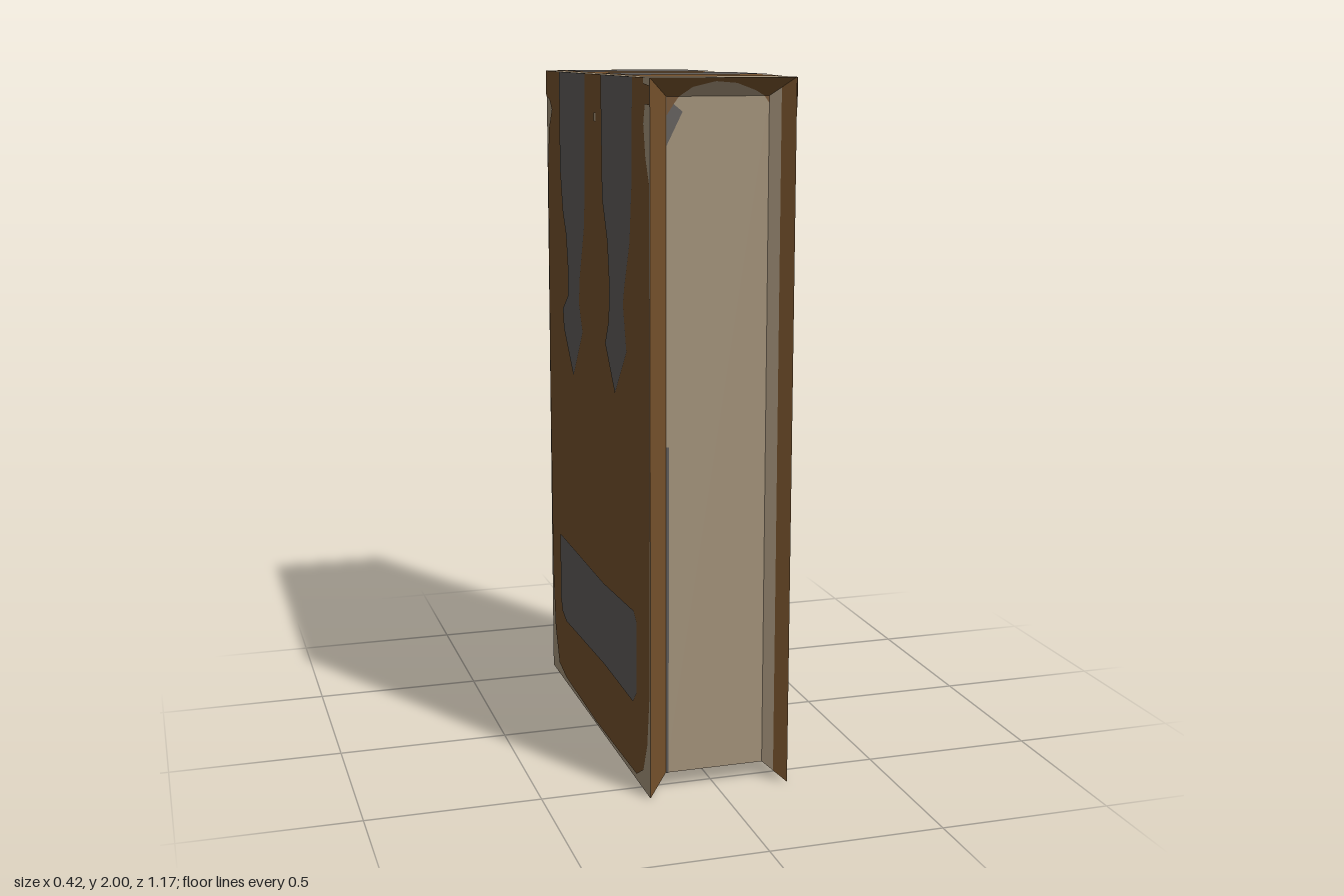
import * as THREE from 'three';

// Outer half sizes and the depth of the recess around the pages
const X = 0.205, Z = 0.585, H = 2, IN = 0.06, D = 0.05;
const XI = X - IN, ZI = Z - D;

function material(name, color) {
  const m = new THREE.MeshStandardMaterial({ color, side: THREE.DoubleSide });
  m.name = name;
  return m;
}

export function createModel() {
  const leather = material('brown leather', 0x73502b);
  const metal = material('grey trim', 0x5f5b58);
  const paper = material('worn paper', 0xa3927a);
  const book = new THREE.Group();
  book.name = 'book';

  const add = (parent, name, geometry, mat) => {
    const mesh = new THREE.Mesh(geometry, mat);
    mesh.name = name;
    parent.add(mesh);
    return mesh;
  };

  // Flat outline in the xy plane, lifted slightly as a layer of paint
  const paint = (parent, name, mat, pts, layer = 0) => {
    const shape = new THREE.Shape(pts.map(([x, y]) => new THREE.Vector2(x, y)));
    const mesh = add(parent, name, new THREE.ShapeGeometry(shape), mat);
    mesh.position.z = layer * 0.002;
    return mesh;
  };
  const rect = (x0, y0, x1, y1) => [[x0, y0], [x1, y0], [x1, y1], [x0, y1]];

  const quad = (name, mat, a, b, c, d) => {
    const g = new THREE.BufferGeometry();
    g.setAttribute('position', new THREE.Float32BufferAttribute([a, b, c, a, c, d].flat(), 3));
    g.computeVertexNormals();
    return add(book, name, g, mat);
  };

  // Page block
  const pages = add(book, 'pages', new THREE.BoxGeometry(XI * 2, H - 2 * D, ZI * 2), paper);
  pages.position.y = H / 2;

  // Covers: the same painted board on both sides
  const leatherOutline = [
    [-0.585, 2], [-0.585, 1.92], [-0.54, 1.91], [-0.51, 1.88], [-0.55, 1.82], [-0.57, 1.7],
    [-0.575, 1.0], [-0.565, 0.35], [-0.54, 0.15], [-0.49, 0.04], [-0.4, 0.02], [0, 0.01],
    [0.45, 0.02], [0.52, 0.06], [0.56, 0.15], [0.585, 0.32], [0.585, 1.72], [0.55, 1.79],
    [0.53, 1.88], [0.545, 1.93], [0.585, 1.93], [0.585, 1.98], [0.53, 1.985], [0.53, 2],
  ];
  const straps = [
    [[-0.4, 2], [-0.4, 1.7], [-0.37, 1.57], [-0.33, 1.5], [-0.31, 1.4], [-0.31, 1.31],
      [-0.38, 1.26], [-0.37, 1.2], [-0.25, 1.065], [-0.13, 1.22], [-0.17, 1.3],
      [-0.165, 1.37], [-0.1, 1.55], [-0.085, 1.8], [-0.08, 2]],
    [[0.1, 2], [0.11, 1.65], [0.165, 1.53], [0.185, 1.4], [0.175, 1.3], [0.135, 1.23],
      [0.24, 1.1], [0.365, 1.24], [0.33, 1.37], [0.345, 1.42], [0.4, 1.55], [0.42, 1.7], [0.43, 2]],
  ];
  const plate = [
    [-0.45, 0.5], [-0.45, 0.28], [-0.43, 0.24], [-0.38, 0.22], [0.1, 0.235], [0.42, 0.23],
    [0.46, 0.27], [0.46, 0.48], [0.43, 0.505], [0.1, 0.49],
  ];
  for (const s of [1, -1]) {
    const cover = new THREE.Group();
    cover.name = s > 0 ? 'leftCover' : 'rightCover';
    cover.position.x = s * X;
    cover.rotation.y = s * Math.PI / 2;
    book.add(cover);
    paint(cover, 'coverBoard', paper, rect(-Z, 0, Z, H));
    paint(cover, 'coverLeather', leather, leatherOutline, 1);
    straps.forEach(p => paint(cover, 'pointedStrap', metal, p, 2));
    paint(cover, 'coverPlate', metal, plate, 2);
    paint(cover, 'wornSpot', paper, rect(0.02, 1.865, 0.045, 1.89), 2);
  }

  // Spine across the top, with the straps running over it
  const spine = new THREE.Group();
  spine.name = 'spine';
  spine.position.y = H;
  spine.rotation.x = -Math.PI / 2;
  book.add(spine);
  paint(spine, 'spineBoard', paper, rect(-X, -Z, X, Z));
  paint(spine, 'spineLeather', leather, [
    [-X, 0.435], [-0.2, 0.5], [-0.17, 0.55], [-0.1, 0.57], [0.1, 0.57], [0.17, 0.55],
    [0.2, 0.5], [X, 0.45], [X, -0.5], [0.18, -0.52], [0.13, -0.55], [-0.1, -0.55],
    [-0.14, -0.56], [-0.17, -0.55], [-X, -0.5],
  ], 1);
  paint(spine, 'spineStrap', metal, rect(-X, 0.095, X, 0.442), 2);
  paint(spine, 'spineStrap', metal, rect(-X, -0.4, X, -0.07), 2);

  // Sloping rims from the cover edges (t = 0) in to the page block (t = 1)
  const rim = (name, mat, sx, sz, t0, t1) => {
    const p = (t, top) => [sx * (X - IN * t), top ? H - D * t : D * t, sz * (Z - D * t)];
    quad(name, mat, p(t0, true), p(t0, false), p(t1, false), p(t1, true));
  };
  const bottomRim = (mat, sx, t0, t1) => {
    const p = (t, sz) => [sx * (X - IN * t), D * t, sz * (Z - D * t)];
    quad('bottomRim', mat, p(t0, -1), p(t0, 1), p(t1, 1), p(t1, -1));
  };
  rim('frontRim', leather, -1, 1, 0, 1);
  rim('frontRim', leather, 1, 1, 0, 0.55);
  rim('frontRimWorn', paper, 1, 1, 0.55, 1);
  rim('backRim', leather, -1, -1, 0, 1);
  rim('backRim', leather, 1, -1, 0, 0.65);
  rim('backRimWorn', paper, 1, -1, 0.65, 1);
  for (const s of [1, -1]) {
    bottomRim(paper, s, 0, 0.3);
    bottomRim(leather, s, 0.3, 0.65);
    bottomRim(paper, s, 0.65, 1);
  }

  // Underside of the spine at both ends, with the pale arch of the page block
  for (const s of [1, -1]) {
    quad('spineRim', leather, [-X, H, s * Z], [X, H, s * Z], [XI, H - D, s * ZI], [-XI, H - D, s * ZI]);
    const arch = paint(book, 'pageArch', paper, [
      [-0.11, 1.95], [0.13, 1.95], [0.1, 1.965], [0.04, 1.985], [-0.02, 1.99], [-0.08, 1.975],
    ]);
    const pos = arch.geometry.attributes.position;
    for (let i = 0; i < pos.count; i++) pos.setZ(i, s * (Z - (H - pos.getY(i)) + 0.003));
    arch.geometry.computeVertexNormals();

    const end = new THREE.Group();
    end.name = s > 0 ? 'frontPageEdge' : 'backPageEdge';
    end.position.z = s * (ZI + 0.002);
    book.add(end);
    paint(end, 'archCorner', leather, [[-XI, 1.95], [-XI, 1.9], [-0.125, 1.93], [-0.11, 1.95]]);
    paint(end, 'archCorner', leather, [[XI, 1.95], [0.13, 1.95], [XI, 1.93]]);
    paint(end, 'greyEdge', metal, rect(-XI, 0.05, -0.137, 1.0));
    paint(end, 'greyCorner', metal, [[-XI, 1.9], [-XI, 1.82], [-0.12, 1.87], [-0.1, 1.91], [-0.125, 1.93]]);
  }
  return book;
}
